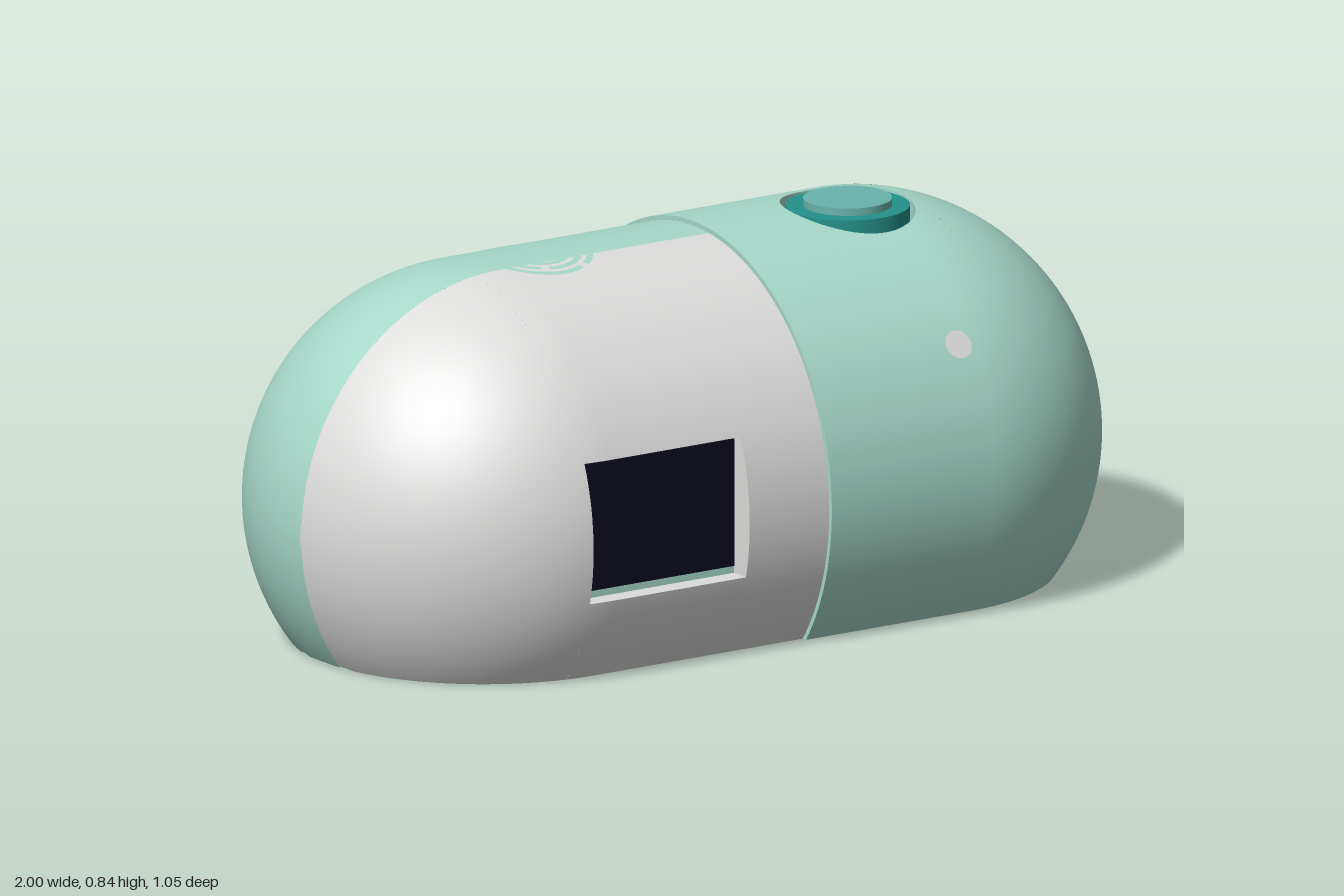
import * as THREE from 'three';

const CY = 0.305;      // height of the capsule axis
const SPLIT = 0.06;    // z of the seam between front panel and back shell
const JOINT = 0.055;   // x where the cap meets the body
const BODY = { r: 0.515, off: x => Math.min(0, x + 0.485) };
const CAP = { r: 0.525, off: x => Math.max(0, x - 0.475) };

const mat = (name, color) => {
  const m = new THREE.MeshStandardMaterial({ color, side: THREE.DoubleSide });
  m.name = name;
  return m;
};

// Grid surface: fn(u, v) returns { p, n? } with u, v in 0..1
function grid(nu, nv, fn) {
  const pos = [], nor = [], idx = [];
  for (let i = 0; i <= nu; i++) for (let j = 0; j <= nv; j++) {
    const { p, n } = fn(i / nu, j / nv);
    pos.push(...p);
    if (n) nor.push(...n);
    if (i < nu && j < nv) {
      const a = i * (nv + 1) + j, b = a + nv + 1;
      idx.push(a, b, a + 1, b, b + 1, a + 1);
    }
  }
  const g = new THREE.BufferGeometry();
  g.setAttribute('position', new THREE.Float32BufferAttribute(pos, 3));
  g.setIndex(idx);
  if (nor.length) g.setAttribute('normal', new THREE.Float32BufferAttribute(nor, 3));
  else g.computeVertexNormals();
  return g;
}

// Capsule surface; angle f runs from the front (+z) over the top to the back
const rho = (s, x) => Math.sqrt(Math.max(0, s.r ** 2 - s.off(x) ** 2));
function surf(s, x, f, lift = 0) {
  const q = rho(s, x);
  const n = [s.off(x) / s.r, q * Math.sin(f) / s.r, q * Math.cos(f) / s.r];
  return { p: [x + n[0] * lift, Math.max(0, CY + n[1] * (s.r + lift)), n[2] * (s.r + lift)], n };
}
const clamp1 = v => Math.max(-1, Math.min(1, v));
const atZ = (s, x, z) => Math.acos(clamp1(z / Math.max(rho(s, x), 1e-6)));
const atY = (s, x, y) => Math.asin(clamp1((y - CY) / Math.max(rho(s, x), 1e-6)));
const base = (s, x) => atY(s, x, 0);
const onTop = (s, x, z, lift) => surf(s, x, atZ(s, x, z), lift);

// Part of the capsule between two angle limits
function patch(s, xAt, from, to, nu = 24, nv = 48) {
  return grid(nu, nv, (u, v) => {
    const x = xAt(u);
    return surf(s, x, THREE.MathUtils.lerp(from(x), to(x), v));
  });
}
const span = (a, b) => u => a + (b - a) * u;

export function createModel() {
  const model = new THREE.Group();
  model.name = 'capsuleDevice';
  const mint = mat('mint', 0xa6d8c9), white = mat('white', 0xdcdcdb);
  const teal = mat('darkTeal', 0x23918a), softTeal = mat('softTeal', 0x69b4ab);
  const navy = mat('navy', 0x0b0b20);
  const add = (name, geo, m, parent = model) => {
    const mesh = new THREE.Mesh(geo, m);
    mesh.name = name;
    parent.add(mesh);
    return mesh;
  };
  const group = name => {
    const g = new THREE.Group();
    g.name = name;
    model.add(g);
    return g;
  };

  // White front panel, with an opening for the display
  const [sx0, sx1, sy0, sy1, sz] = [-0.55, -0.15, 0.185, 0.49, 0.455];
  const panel = group('frontPanel');
  const top = x => atZ(BODY, x, SPLIT);
  const low = x => Math.max(base(BODY, x), -top(x));
  const tipL = u => -1 + (1 + sx0) * u * u;
  add('panelEnd', patch(BODY, tipL, low, top, 40), white, panel);
  add('panelBelowDisplay', patch(BODY, span(sx0, sx1), low, x => atY(BODY, x, sy0)), white, panel);
  add('panelAboveDisplay', patch(BODY, span(sx0, sx1), x => atY(BODY, x, sy1), top), white, panel);
  add('panelInner', patch(BODY, span(sx1, JOINT), low, top), white, panel);

  // Mint back shell
  const backEnd = x => (rho(BODY, x) ** 2 > CY ** 2 + SPLIT ** 2
    ? Math.PI - base(BODY, x) : 2 * Math.PI - top(x));
  const back = group('backShell');
  add('backEnd', patch(BODY, tipL, top, backEnd, 48), mint, back);
  add('backMiddle', patch(BODY, span(sx0, JOINT), top, backEnd), mint, back);

  // Recessed display
  const display = group('display');
  const wall = (name, x0, x1, y0, y1) => add(name, grid(16, 1, (u, v) => {
    const x = x0 + (x1 - x0) * u, y = y0 + (y1 - y0) * u;
    const p = surf(BODY, x, atY(BODY, x, y)).p;
    return { p: [x, y, v ? sz : p[2]] };
  }), white, display);
  wall('recessFloor', sx0, sx1, sy0, sy0);
  wall('recessCeiling', sx0, sx1, sy1, sy1);
  wall('recessLeftWall', sx1, sx1, sy0, sy1);
  wall('recessRightWall', sx0, sx0, sy0, sy1);
  add('displayFrame', new THREE.PlaneGeometry(sx1 - sx0, sy1 - sy0), mint, display)
    .position.set((sx0 + sx1) / 2, (sy0 + sy1) / 2, sz);
  add('screen', new THREE.BoxGeometry(0.385, 0.28, 0.008), navy, display)
    .position.set(-0.347, 0.343, sz + 0.005);

  // Larger mint cap, with a round opening for the button
  const [bx, bz, br, half, floorY] = [0.42, 0.05, 0.145, 0.16, 0.77];
  const cap = group('cap');
  const capLow = x => base(CAP, x), capEnd = x => Math.PI - base(CAP, x);
  const tipR = u => 1 - (1 - bx - half) * (1 - u) ** 2;
  add('capInner', patch(CAP, span(JOINT, bx - half), capLow, capEnd, 8, 96), mint, cap);
  add('capFront', patch(CAP, span(bx - half, bx + half), capLow, x => atZ(CAP, x, bz + half)), mint, cap);
  add('capBack', patch(CAP, span(bx - half, bx + half), x => atZ(CAP, x, bz - half), capEnd), mint, cap);
  add('capEnd', patch(CAP, tipR, capLow, capEnd, 40, 96), mint, cap);
  add('buttonSurround', grid(4, 64, (u, v) => {
    const t = v * Math.PI * 2, c = Math.cos(t), s = Math.sin(t);
    const k = THREE.MathUtils.lerp(br, half / Math.max(Math.abs(c), Math.abs(s)), u);
    return onTop(CAP, bx + k * c, bz - k * s);
  }), mint, cap);
  add('buttonWell', grid(1, 64, (u, v) => {
    const t = v * Math.PI * 2, x = bx + br * Math.cos(t), z = bz - br * Math.sin(t);
    return { p: [x, u ? onTop(CAP, x, z).p[1] : floorY, z] };
  }), mint, cap);
  add('buttonWellFloor', new THREE.CircleGeometry(br, 64).rotateX(-Math.PI / 2), mint, cap)
    .position.set(bx, floorY, bz);

  // Step between cap and body
  add('capRim', grid(96, 1, (u, v) => {
    const s = v ? CAP : BODY;
    const f = THREE.MathUtils.lerp(base(s, JOINT), Math.PI - base(s, JOINT), u);
    return { p: [JOINT, CY + s.r * Math.sin(f), s.r * Math.cos(f)], n: [-1, 0, 0] };
  }), mint, cap);

  // Button
  const button = group('button');
  add('buttonRing', new THREE.CylinderGeometry(0.133, 0.133, 0.05, 64), teal, button)
    .position.set(bx, 0.797, bz);
  add('buttonTop', new THREE.CylinderGeometry(0.095, 0.095, 0.03, 64), softTeal, button)
    .position.set(bx, 0.823, bz);

  // Indicator light
  const lamp = surf(CAP, 0.44, atY(CAP, 0.44, 0.595), 0.003);
  const light = add('indicatorLight', new THREE.CircleGeometry(0.032, 24), white);
  light.position.set(...lamp.p);
  light.lookAt(new THREE.Vector3(...lamp.p).add(new THREE.Vector3(...lamp.n)));

  // Speaker grille: broken concentric slots
  const grille = group('speakerGrille');
  [0.02, 0.044, 0.068, 0.092, 0.116].forEach((r, i) => {
    const parts = i < 2 ? 2 : 3;
    for (let k = 0; k < parts; k++) {
      const start = (k / parts) * Math.PI * 2 + i * 0.8;
      const sweep = (Math.PI * 2) / parts - 0.02 / (r + 0.01);
      add('grilleSlot', grid(2, 28, (u, v) => {
        const t = start + sweep * v, q = r + 0.014 * u;
        return onTop(BODY, -0.36 + q * Math.cos(t), -q * Math.sin(t), 0.002);
      }), mint, grille);
    }
  });

  // Flat base
  const foot = s => Math.sqrt(s.r ** 2 - CY ** 2);
  const shape = new THREE.Shape();
  shape.moveTo(JOINT, -foot(CAP));
  shape.absarc(0.475, 0, foot(CAP), -Math.PI / 2, Math.PI / 2);
  shape.lineTo(JOINT, foot(CAP));
  shape.lineTo(JOINT, foot(BODY));
  shape.absarc(-0.485, 0, foot(BODY), Math.PI / 2, Math.PI * 1.5);
  shape.lineTo(JOINT, -foot(BODY));
  add('base', new THREE.ShapeGeometry(shape, 48).rotateX(Math.PI / 2), mint);

  return model;
}
